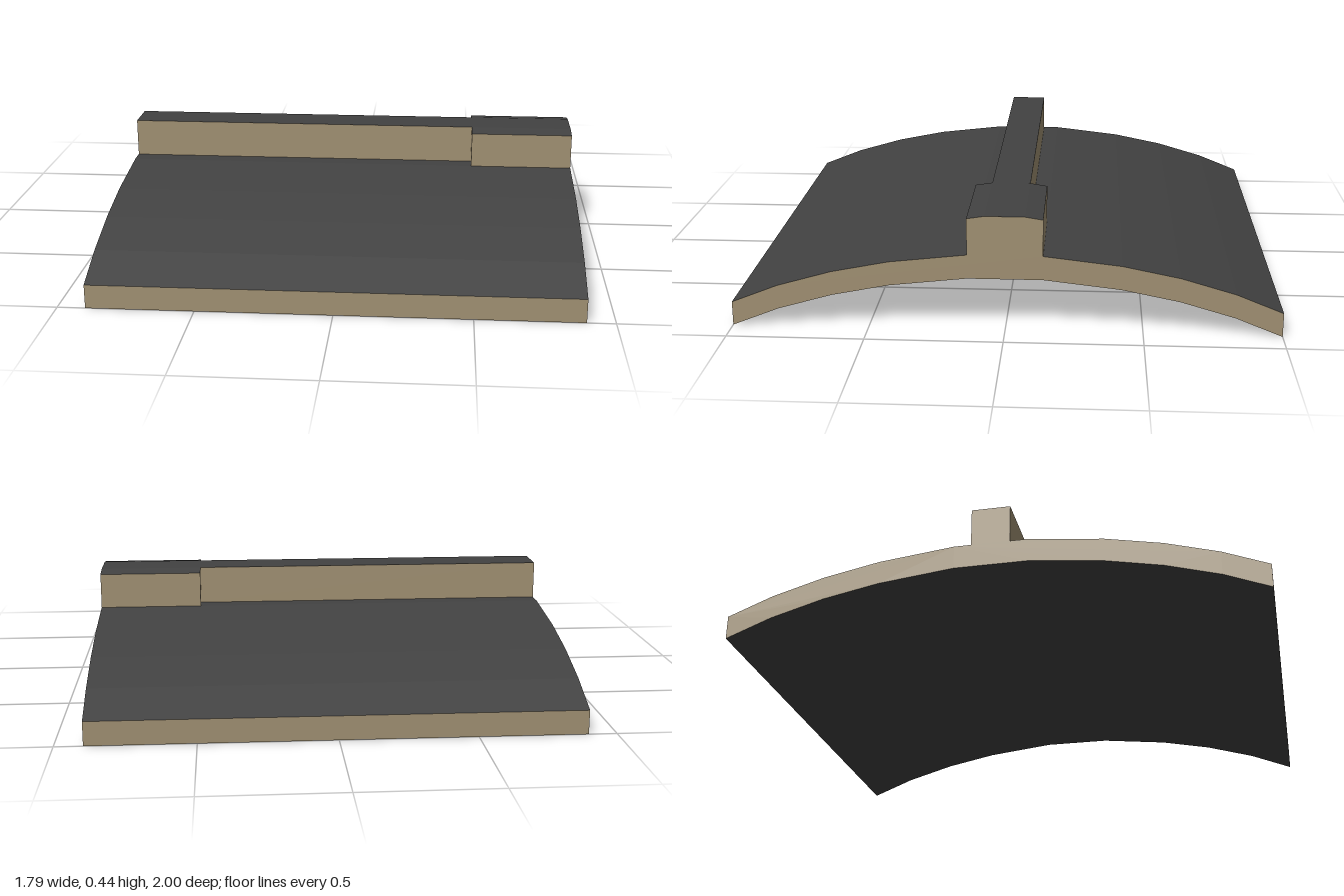
import * as THREE from 'three';

const dark = new THREE.MeshStandardMaterial({ color: 0x424242 });
dark.name = 'charcoal surface';
const tan = new THREE.MeshStandardMaterial({ color: 0xa09072 });
tan.name = 'tan edge';

// Extrudes a (z, y) outline along x; upward and downward faces are dark, the rest tan
function prism(name, outline, x0, x1) {
  const shape = new THREE.Shape(outline.map(([z, y]) => new THREE.Vector2(z, y)));
  const geo = new THREE.ExtrudeGeometry(shape, { depth: x1 - x0, bevelEnabled: false });
  geo.rotateY(Math.PI / 2).translate(x0, 0, 0);
  geo.computeVertexNormals();
  geo.clearGroups();
  const normal = geo.attributes.normal;
  for (let i = 0; i < normal.count; i += 3) {
    geo.addGroup(i, 3, Math.abs(normal.getY(i)) > 0.7 ? 0 : 1);
  }
  const mesh = new THREE.Mesh(geo, [dark, tan]);
  mesh.name = name;
  return mesh;
}

// Completes a half outline by mirroring it across z = 0
const mirrored = (half) => [...half, ...half.map(([z, y]) => [-z, y]).reverse()];

export function createModel() {
  const group = new THREE.Group();
  group.name = 'curvedPanel';
  const end = 0.897, step = 0.495, thickness = 0.09;

  // Arched slab of constant vertical thickness
  const arch = mirrored([[-1, 0], [-0.83, 0.068], [-0.63, 0.126], [-0.42, 0.168], [-0.137, 0.2]]);
  const top = arch.map(([z, y]) => [z, y + thickness]).reverse();
  group.add(prism('archedSlab', [...arch, ...top], -end, end));

  // Ridge along the crown, wider at the left end
  const base = 0.2 + thickness;
  group.add(prism('narrowRidge', mirrored([[-0.073, base], [-0.073, 0.437]]), -end, step));
  group.add(prism('wideRidge', mirrored([[-0.137, base], [-0.137, 0.427], [-0.073, 0.437]]), step, end));
  return group;
}
